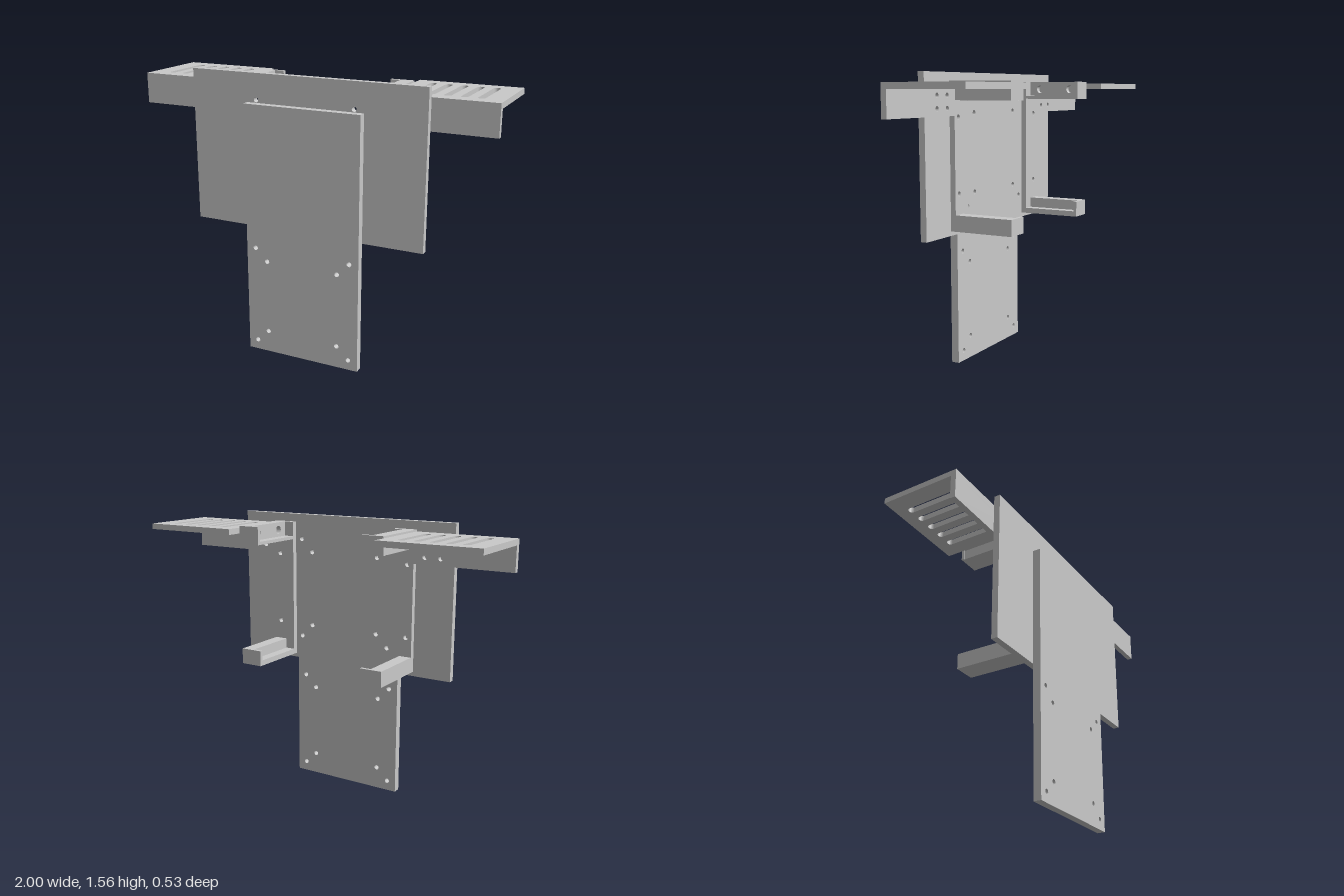
import * as THREE from 'three';

const metal = new THREE.MeshStandardMaterial({ color: 0xc9c9c9 });
metal.name = 'light grey metal';

function add(parent, name, geometry) {
  const mesh = new THREE.Mesh(geometry, metal);
  mesh.name = name;
  parent.add(mesh);
  return mesh;
}

// Box given by its limits on each axis
function block(parent, name, [x0, x1], [y0, y1], [z0, z1]) {
  const geo = new THREE.BoxGeometry(Math.abs(x1 - x0), y1 - y0, z1 - z0);
  geo.translate((x0 + x1) / 2, (y0 + y1) / 2, (z0 + z1) / 2);
  return add(parent, name, geo);
}

// Rectangle extruded along +z, with holes cut through it
function sheet([u0, u1], [v0, v1], depth, holes) {
  const a = Math.min(u0, u1), b = Math.max(u0, u1);
  const shape = new THREE.Shape([[a, v0], [b, v0], [b, v1], [a, v1]].map(p => new THREE.Vector2(...p)));
  shape.holes.push(...holes);
  return new THREE.ExtrudeGeometry(shape, { depth, bevelEnabled: false, curveSegments: 10 });
}

const roundHole = (x, y, r = 0.0135) => new THREE.Path().absarc(x, y, r, 0, Math.PI * 2, true);

function slot(x, v0, v1, r) {
  const path = new THREE.Path();
  path.absarc(x, v1 - r, r, 0, Math.PI, false);
  path.absarc(x, v0 + r, r, Math.PI, Math.PI * 2, false);
  path.closePath();
  return path;
}

const mirrored = points => points.flatMap(([x, y]) => [roundHole(x, y), roundHole(-x, y)]);

function sideAssembly(s) {
  const side = new THREE.Group();
  const xs = (a, b) => [s * a, s * b];

  // Slotted shelf with a drilled mounting flange
  const slots = [0.548, 0.632, 0.716, 0.8, 0.883].map(x => slot(s * x, -0.197, 0.115, 0.0185));
  add(side, 'slottedShelf', sheet(xs(0.445, 1), [-0.263, 0.185], 0.031, slots)
    .rotateX(Math.PI / 2).translate(0, 1.507, 0));
  const flangeHoles = [[0.51, 1.38], [0.6, 1.38], [0.51, 1.445], [0.6, 1.445]]
    .map(([x, y]) => roundHole(s * x, y));
  add(side, 'shelfFlange', sheet(xs(0.445, 1), [1.341, 1.476], 0.03, flangeHoles).translate(0, 0, 0.155));

  // Upright strip of the bracket
  const uprightHoles = [[0.41, 1.335], [0.41, 0.94]].map(([x, y]) => roundHole(s * x, y));
  add(side, 'bracketUpright', sheet(xs(0.32, 0.445), [0.747, 1.517], 0.03, uprightHoles).translate(0, 0, 0.155));

  // Lower arm: outer wall, floor and end stop
  block(side, 'lowerArmWall', xs(0.375, 0.445), [0.747, 0.833], [-0.155, 0.155]);
  block(side, 'lowerArmFloor', xs(0.32, 0.375), [0.747, 0.777], [-0.155, 0.155]);
  block(side, 'lowerArmStop', xs(0.32, 0.445), [0.747, 0.833], [-0.173, -0.155]);

  // Upper arm: inner face with two blind holes, solid backing, floor and end stop
  const armHoles = [-0.1, 0.09].map(z => roundHole(z, 1.475, 0.023));
  add(side, 'upperArmFace', sheet([-0.155, 0.155], [1.42, 1.517], 0.03, armHoles)
    .rotateY(-Math.PI / 2).translate(s > 0 ? 0.405 : -0.375, 0, 0));
  block(side, 'upperArmBody', xs(0.405, 0.44), [1.42, 1.476], [-0.155, 0.155]);
  block(side, 'upperArmTop', xs(0.405, 0.445), [1.476, 1.517], [-0.155, 0.155]);
  block(side, 'upperArmFloor', xs(0.32, 0.375), [1.42, 1.437], [-0.155, 0.155]);
  block(side, 'upperArmStop', xs(0.32, 0.445), [1.42, 1.517], [-0.173, -0.155]);
  return side;
}

export function createModel() {
  const model = new THREE.Group();
  model.name = 'bracketMount';

  // Tall front plate
  const frontHoles = mirrored([[0.28, 0.056], [0.21, 0.124], [0.21, 0.543], [0.28, 0.612]]);
  add(model, 'frontPlate', sheet([-0.333, 0.333], [0, 1.405], 0.043, frontHoles).translate(0, 0, 0.22));

  // Wide back plate
  const backHoles = mirrored([[0.28, 1.421], [0.21, 1.352], [0.21, 0.928], [0.28, 0.858]]);
  add(model, 'backPlate', sheet([-0.665, 0.665], [0.723, 1.561], 0.035, backHoles).translate(0, 0, 0.185));

  // Mirrored shelves and brackets
  for (const s of [1, -1]) {
    const side = sideAssembly(s);
    side.name = s > 0 ? 'leftSupport' : 'rightSupport';
    model.add(side);
  }
  return model;
}
